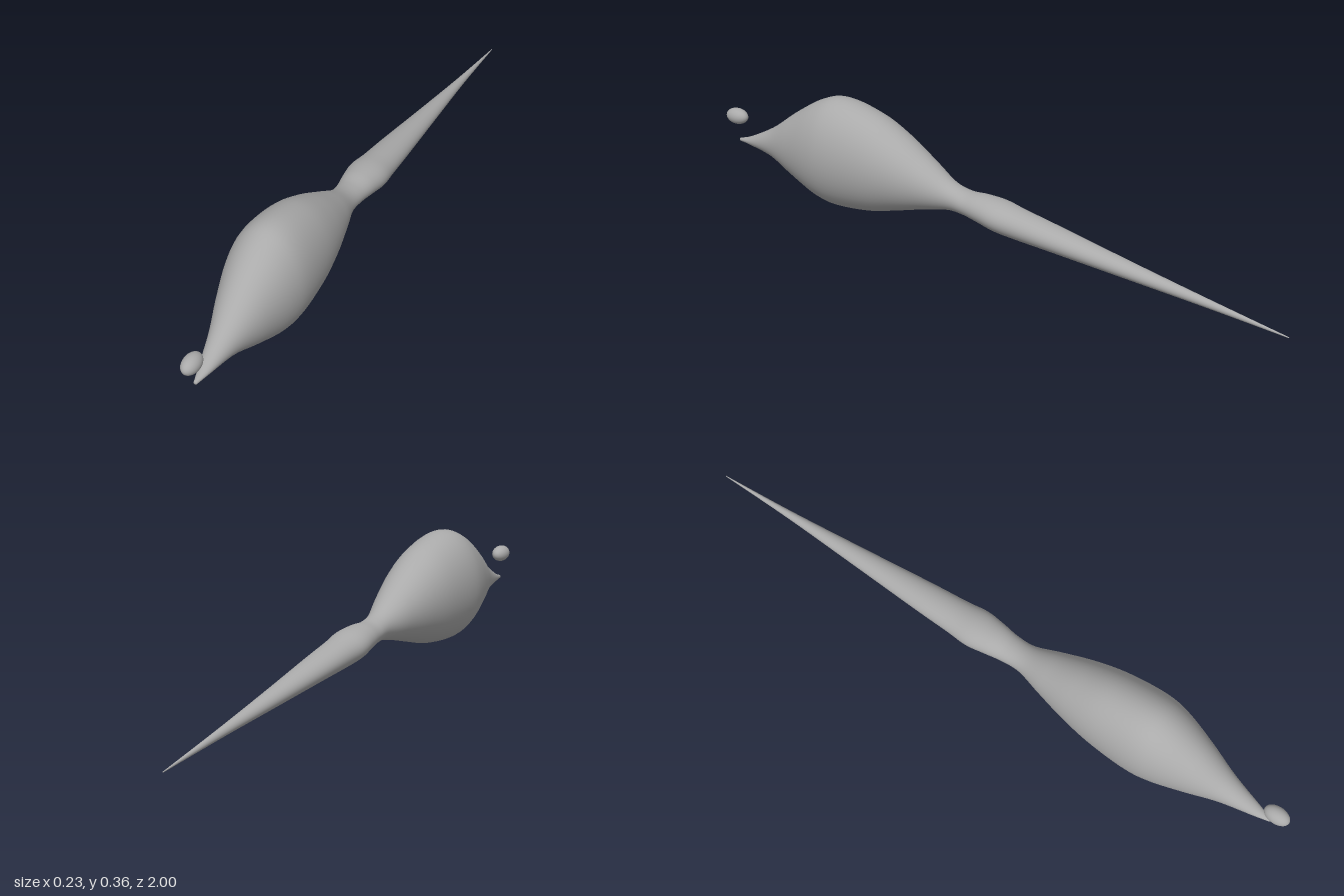
import * as THREE from 'three';

// Body stations from nose to tail: [z, top y, bottom y, half width]
const STATIONS = [
  [0.95, 0.138, 0.128, 0.005], [0.9, 0.155, 0.125, 0.019], [0.8, 0.208, 0.108, 0.045],
  [0.7, 0.28, 0.065, 0.079], [0.6, 0.34, 0.026, 0.108], [0.52, 0.358, 0.015, 0.117],
  [0.4, 0.334, 0.027, 0.11], [0.3, 0.29, 0.052, 0.093], [0.2, 0.232, 0.079, 0.067],
  [0.12, 0.185, 0.096, 0.044], [0.06, 0.168, 0.096, 0.044], [0, 0.169, 0.086, 0.053],
  [-0.06, 0.165, 0.074, 0.06], [-0.13, 0.152, 0.066, 0.054], [-0.25, 0.131, 0.058, 0.047],
  [-0.5, 0.087, 0.039, 0.029], [-0.75, 0.045, 0.02, 0.012], [-1, 0.003, 0, 0.001],
];

// Closed smooth loft through elliptical cross-sections
function loft(stations, rings, sides) {
  const curves = [1, 2, 3].map(
    (k) => new THREE.SplineCurve(stations.map((s) => new THREE.Vector2(s[0], s[k])))
  );
  const position = [];
  const index = [];
  let first, last;
  for (let i = 0; i <= rings; i++) {
    const [top, bottom, width] = curves.map((c) => c.getPoint(i / rings));
    const cy = (top.y + bottom.y) / 2;
    const ry = (top.y - bottom.y) / 2;
    for (let j = 0; j < sides; j++) {
      const a = (j / sides) * Math.PI * 2;
      position.push(Math.cos(a) * width.y, cy + Math.sin(a) * ry, top.x);
    }
    if (i === 0) first = [0, cy, top.x + 0.002];
    last = [0, cy, top.x];
  }
  for (let i = 0; i < rings; i++) {
    for (let j = 0; j < sides; j++) {
      const a = i * sides + j;
      const b = i * sides + ((j + 1) % sides);
      index.push(a, a + sides, b, b, a + sides, b + sides);
    }
  }
  // Close the nose and the tail tip
  const nose = position.length / 3;
  position.push(...first, ...last);
  for (let j = 0; j < sides; j++) {
    const k = (j + 1) % sides;
    index.push(nose, j, k, nose + 1, rings * sides + k, rings * sides + j);
  }
  const geometry = new THREE.BufferGeometry();
  geometry.setAttribute('position', new THREE.Float32BufferAttribute(position, 3));
  geometry.setIndex(index);
  geometry.computeVertexNormals();
  return geometry;
}

export function createModel() {
  const model = new THREE.Group();
  const grey = new THREE.MeshStandardMaterial({ color: 0xaaaaaa });
  grey.name = 'grey';

  // Bulbous body running through a narrow waist into a long tail
  const body = new THREE.Mesh(loft(STATIONS, 136, 48), grey);
  body.name = 'bodyAndTail';
  model.add(body);

  // Small egg floating above the nose
  const egg = new THREE.Mesh(new THREE.SphereGeometry(1, 32, 20), grey);
  egg.name = 'floatingEgg';
  egg.scale.set(0.025, 0.025, 0.04);
  egg.position.set(0, 0.209, 0.96);
  model.add(egg);

  return model;
}
